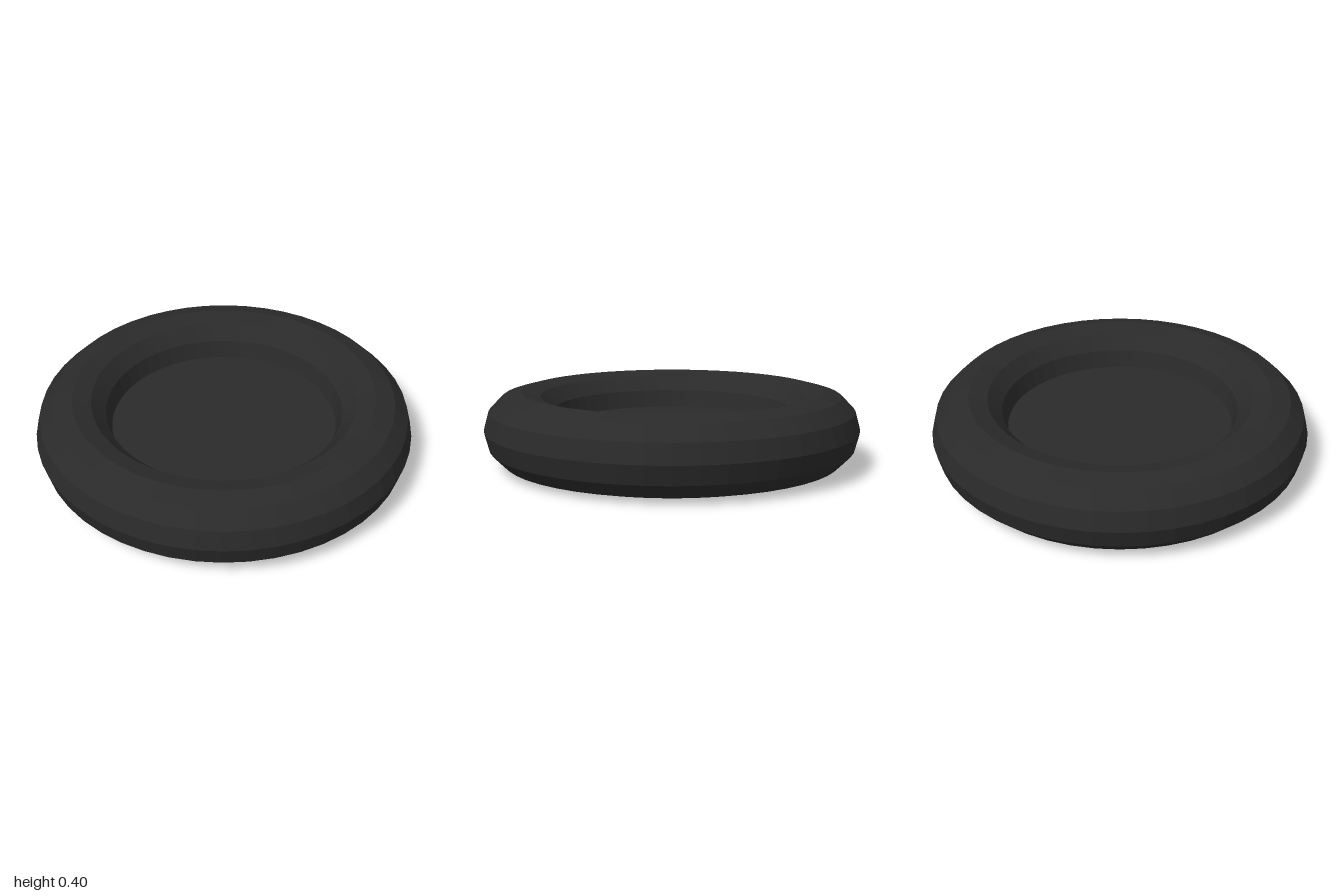
import * as THREE from 'three';

export function createModel() {
  const model = new THREE.Group();
  const rubber = new THREE.MeshStandardMaterial({ color: 0x2a2a2a, flatShading: true });
  const yellow = new THREE.MeshStandardMaterial({ color: 0xffdd11, flatShading: true });
  const midHeight = 0.2;

  function add(name, geometry, material, y) {
    const mesh = new THREE.Mesh(geometry, material);
    mesh.name = name;
    mesh.position.y = y;
    model.add(mesh);
  }

  // Faceted ring lying flat
  add('ring', new THREE.TorusGeometry(0.8, 0.2, 12, 48).rotateX(Math.PI / 2), rubber, midHeight);

  // Thin floor closing the hole at mid height
  add('floor', new THREE.CylinderGeometry(0.6, 0.6, 0.01, 64), rubber, midHeight);

  // Square block hanging under the floor
  add('undersideBlock', new THREE.BoxGeometry(0.5, 0.17, 0.5), yellow, 0.115);

  return model;
}
